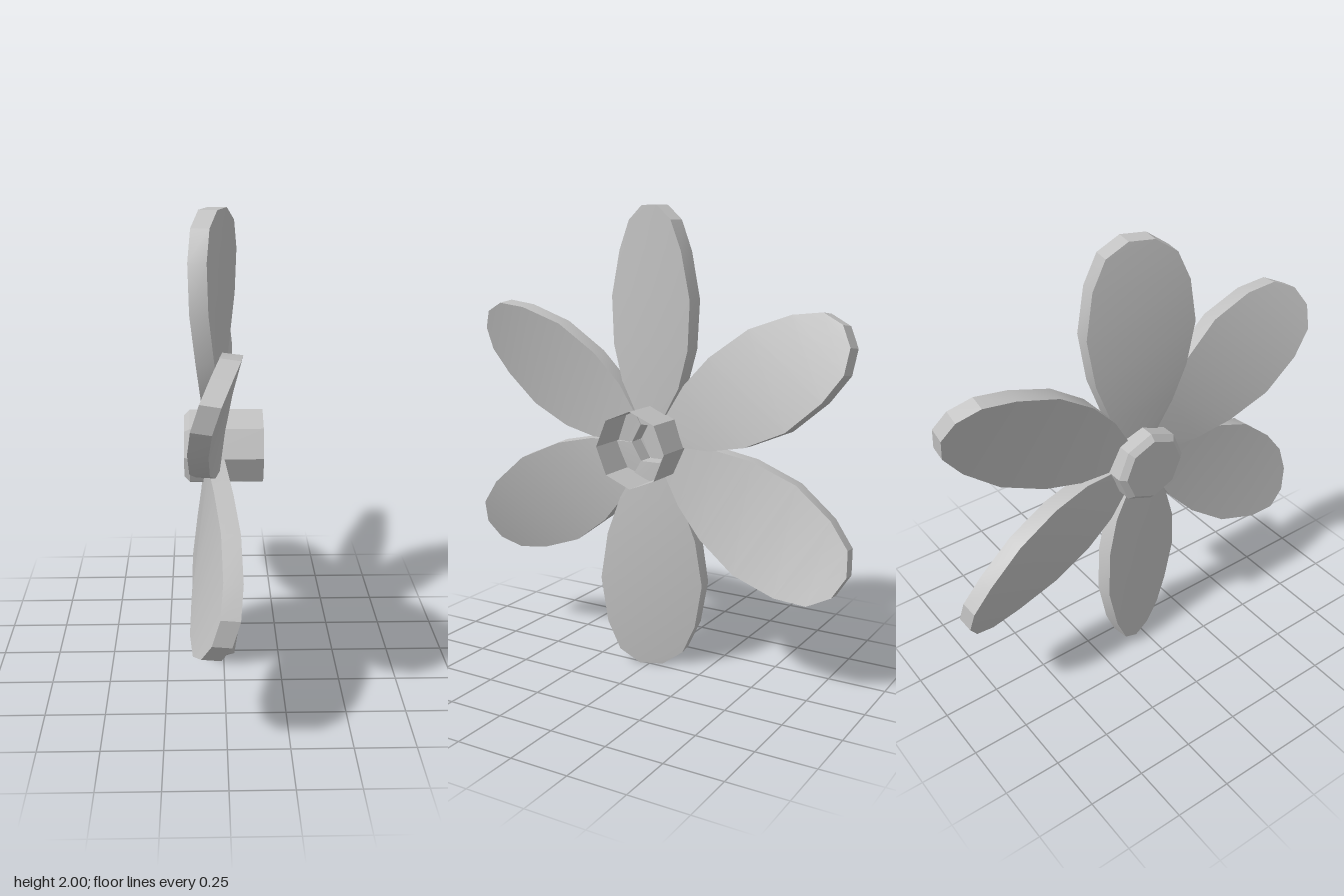
import * as THREE from 'three';
import { toCreasedNormals } from 'three/addons/utils/BufferGeometryUtils.js';

const BLADES = 6, THICK = 0.075, MID_X = -0.043, TWIST = 0.42;

// Blade outline: [distance from the axis, half width]
const OUTLINE = [
  [0.08, 0.046], [0.252, 0.146], [0.415, 0.2], [0.62, 0.222],
  [0.815, 0.185], [0.94, 0.13], [1, 0.047],
];

// Twisted slab, lofted from four-cornered sections that pitch more towards the tip
function bladeGeometry() {
  const pos = [], index = [];
  for (const [r, w] of OUTLINE) {
    for (const [side, z] of [[1, w], [1, -w], [-1, -w], [-1, w]]) {
      pos.push(MID_X + side * THICK / 2 - TWIST * r * z, r, z + side * 0.006 * r);
    }
  }
  const quad = (a, b, c, d) => index.push(a, b, c, a, c, d);
  const last = (OUTLINE.length - 1) * 4;
  for (let s = 0; s < last; s += 4) {
    for (let i = 0; i < 4; i++) {
      const j = (i + 1) % 4;
      quad(s + i, s + j, s + 4 + j, s + 4 + i);
    }
  }
  quad(3, 2, 1, 0);
  quad(last, last + 1, last + 2, last + 3);
  const geo = new THREE.BufferGeometry();
  geo.setAttribute('position', new THREE.Float32BufferAttribute(pos, 3));
  geo.setIndex(index);
  return toCreasedNormals(geo, 0.5);
}

// Eight-sided cup along x: bevelled closed end at -x, open at +x
function hubGeometry() {
  const profile = [[0, -0.167], [0.14, -0.167], [0.165, -0.143], [0.165, 0.165]]
    .map(([r, x]) => new THREE.Vector2(r, x));
  const geo = new THREE.LatheGeometry(profile, 8).rotateZ(-Math.PI / 2);
  return toCreasedNormals(geo, 0.4);
}

export function createModel() {
  const grey = new THREE.MeshStandardMaterial({ color: 0xc0c0c0, side: THREE.DoubleSide });
  grey.name = 'light grey';

  const propeller = new THREE.Group();
  propeller.name = 'propeller';
  propeller.position.y = 1;

  const hub = new THREE.Mesh(hubGeometry(), grey);
  hub.name = 'hub';
  propeller.add(hub);

  // Blades spaced evenly around the hub
  const geo = bladeGeometry();
  for (let i = 0; i < BLADES; i++) {
    const blade = new THREE.Mesh(geo, grey);
    blade.name = 'blade' + (i + 1);
    blade.rotation.x = (i / BLADES) * Math.PI * 2;
    propeller.add(blade);
  }

  const model = new THREE.Group();
  model.name = 'model';
  model.add(propeller);
  return model;
}
